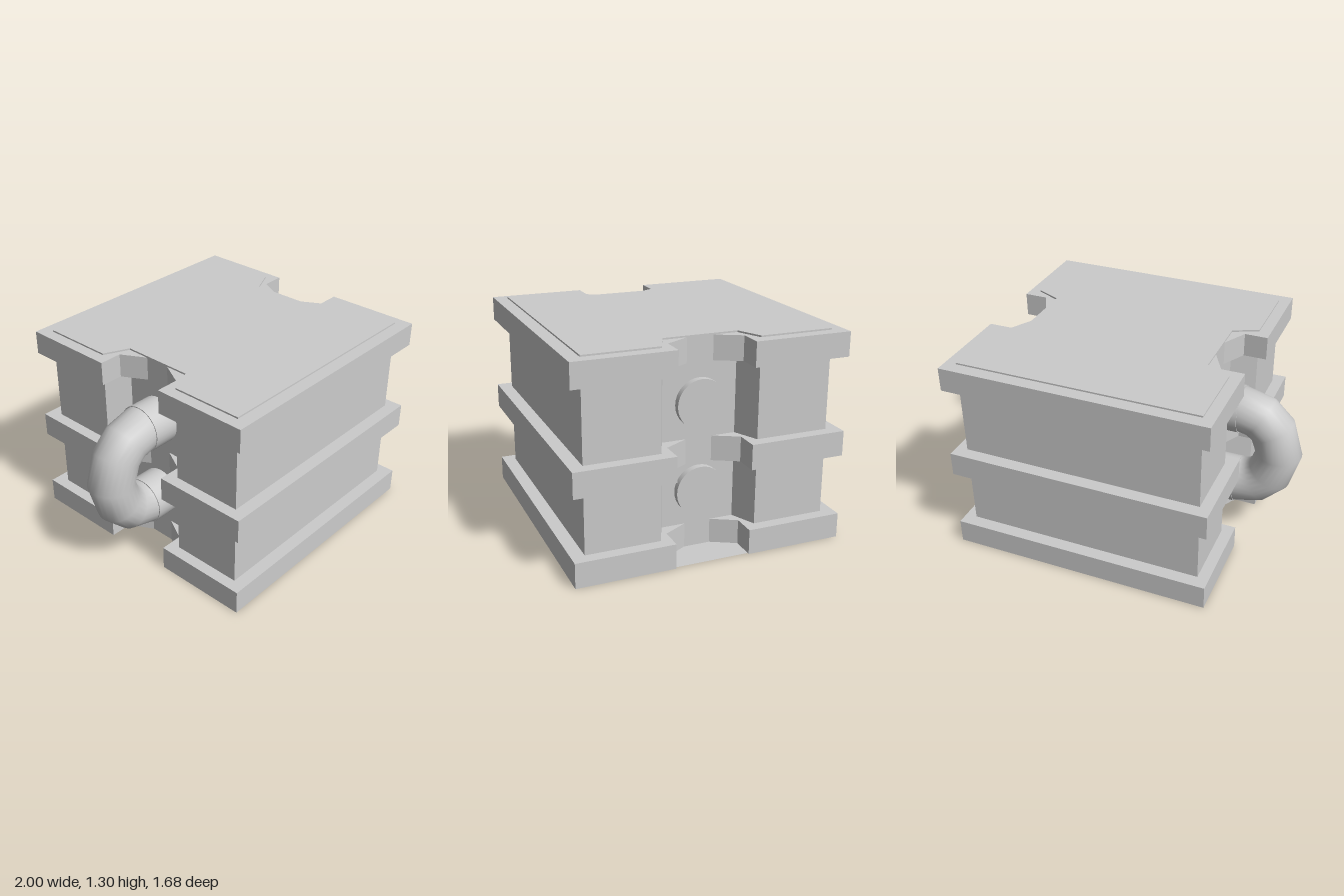
import * as THREE from 'three';

const CX = 0.162; // the block sits off-centre because the bent pipe sticks out on one side
const MID_Y = 0.638;
const PIPE_OFFSET = 0.267;

// Pipe bend: half a ring in a few straight steps
class BendCurve extends THREE.Curve {
  getPoint(t, target = new THREE.Vector3()) {
    const angles = [90, 62, 37, 0, -37, -62, -90];
    const i = Math.min(5, Math.floor(t * 6 + 1e-6));
    const a = THREE.MathUtils.degToRad(THREE.MathUtils.lerp(angles[i], angles[i + 1], t * 6 - i));
    return target.set(-0.61 - 0.25 * Math.cos(a), MID_Y + PIPE_OFFSET * Math.sin(a), 0);
  }
  getPointAt(t, target) {
    return this.getPoint(t, target);
  }
}

// Plan outline from one quarter [x, z], mirrored to all four corners, then raised
function slab(quarter, y0, y1) {
  const back = [...quarter].reverse();
  const pts = [
    ...quarter,
    ...back.map(([x, z]) => [-x, z]),
    ...quarter.map(([x, z]) => [-x, -z]),
    ...back.map(([x, z]) => [x, -z]),
  ].map(([x, z]) => new THREE.Vector2(x, z));
  const geo = new THREE.ExtrudeGeometry(new THREE.Shape(pts), { depth: y1 - y0, bevelEnabled: false });
  geo.rotateX(-Math.PI / 2);
  geo.translate(CX, y0, 0);
  return geo;
}

export function createModel() {
  const model = new THREE.Group();
  const material = new THREE.MeshStandardMaterial({ color: 0xcccccc });
  const add = (name, geo) => {
    const mesh = new THREE.Mesh(geo, material);
    mesh.name = name;
    model.add(mesh);
    return mesh;
  };

  // Core block with a flared notch in both sides
  add('body', slab([[0.608, 0.23], [0.763, 0.3], [0.763, 0.757]], 0.002, 1.305));

  // Three wider bands with chamfered notches
  const band = [[0.607, 0.08], [0.69, 0.233], [0.835, 0.233], [0.835, 0.838]];
  [[0, 0.155], [0.535, 0.69], [1.145, 1.295]].forEach(([y0, y1], i) => {
    add(['bottomBand', 'middleBand', 'topBand'][i], slab(band, y0, y1));
  });

  // Thin floor closing the notch on the left side
  const floor = new THREE.PlaneGeometry(0.215, 0.466);
  floor.rotateX(-Math.PI / 2);
  floor.translate(0.878, 0.002, 0);
  add('notchFloor', floor);

  // Two straight pipes through the block, joined outside by a bend
  for (const side of [1, -1]) {
    const pipe = new THREE.CylinderGeometry(0.15, 0.15, 1.42, 32);
    pipe.rotateZ(Math.PI / 2);
    pipe.translate(0.1, MID_Y + side * PIPE_OFFSET, 0);
    add(side > 0 ? 'upperPipe' : 'lowerPipe', pipe);
  }
  add('pipeBend', new THREE.TubeGeometry(new BendCurve(), 6, 0.145, 24, false));

  return model;
}
